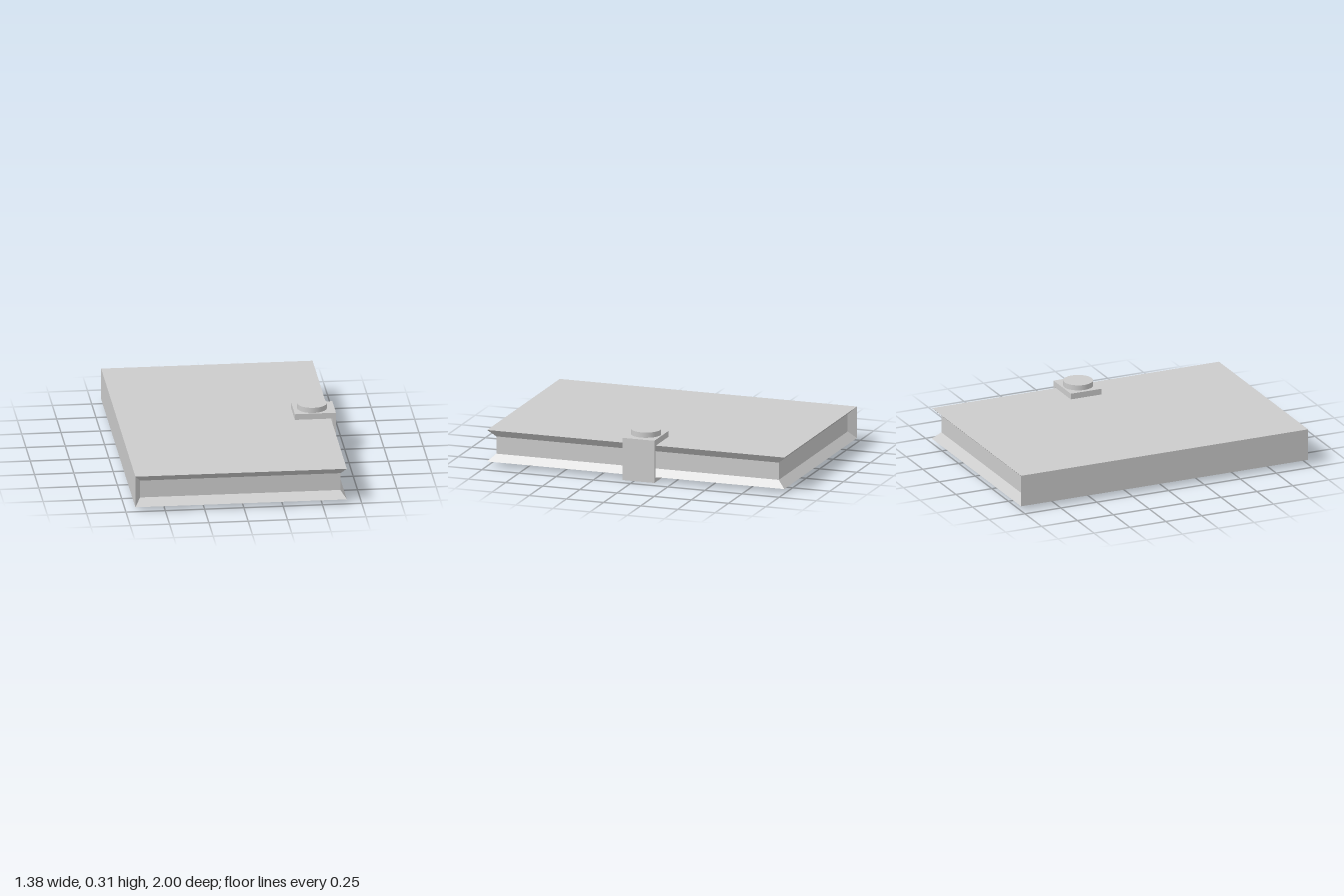
import * as THREE from 'three';

const material = new THREE.MeshStandardMaterial({ color: 0xcccccc, flatShading: true });
const smooth = new THREE.MeshStandardMaterial({ color: 0xcccccc });

// Corners of a horizontal rectangle, running front-left, front-right, back-right, back-left
const ring = (x0, x1, z, y) => [[x0, y, z], [x1, y, z], [x1, y, -z], [x0, y, -z]];

function quadGeometry(quads) {
  const positions = quads.flatMap(([a, b, c, d]) => [a, b, c, a, c, d]).flat();
  const geometry = new THREE.BufferGeometry();
  geometry.setAttribute('position', new THREE.Float32BufferAttribute(positions, 3));
  geometry.computeVertexNormals();
  return geometry;
}

function addMesh(parent, name, geometry, mat = material) {
  const mesh = new THREE.Mesh(geometry, mat);
  mesh.name = name;
  parent.add(mesh);
  return mesh;
}

export function createModel() {
  const model = new THREE.Group();
  model.name = 'claspedBook';

  // Levels of the book: cover edges outside, page block inset
  const levels = [
    ring(-0.69, 0.655, 1, 0.03),
    ring(-0.655, 0.62, 0.95, 0.077),
    ring(-0.655, 0.62, 0.95, 0.19),
    ring(-0.69, 0.655, 1, 0.236),
  ];
  const [bottom, pagesLow, pagesHigh, top] = levels;

  // Covers with a flat spine on the -x side
  const covers = [
    top,
    [...bottom].reverse(),
    [bottom[3], bottom[0], top[0], top[3]],
    [bottom[0], pagesLow[0], pagesHigh[0], top[0]],
    [pagesLow[3], bottom[3], top[3], pagesHigh[3]],
  ];
  const pages = [];
  // Bevelled cover lips and page edges on the three open sides
  for (let side = 0; side < 3; side++) {
    for (let i = 0; i < 3; i++) {
      const lo = levels[i], hi = levels[i + 1];
      (i === 1 ? pages : covers).push([lo[side], lo[side + 1], hi[side + 1], hi[side]]);
    }
  }
  addMesh(model, 'coversAndSpine', quadGeometry(covers));
  addMesh(model, 'pages', quadGeometry(pages));

  // C-shaped clasp gripping the open edge
  const clasp = new THREE.Group();
  clasp.name = 'clasp';
  const profile = new THREE.Shape([
    [0.425, 0], [0.687, 0], [0.687, 0.276], [0.425, 0.276],
    [0.425, 0.238], [0.665, 0.238], [0.665, 0.026], [0.425, 0.026],
  ].map(([x, y]) => new THREE.Vector2(x, y)));
  const strap = new THREE.ExtrudeGeometry(profile, { depth: 0.214, bevelEnabled: false });
  addMesh(clasp, 'strap', strap).position.z = -0.138;

  // Round button on the clasp
  const button = addMesh(clasp, 'button', new THREE.CylinderGeometry(0.095, 0.095, 0.035, 32), smooth);
  button.position.set(0.546, 0.2925, -0.031);
  model.add(clasp);

  return model;
}
